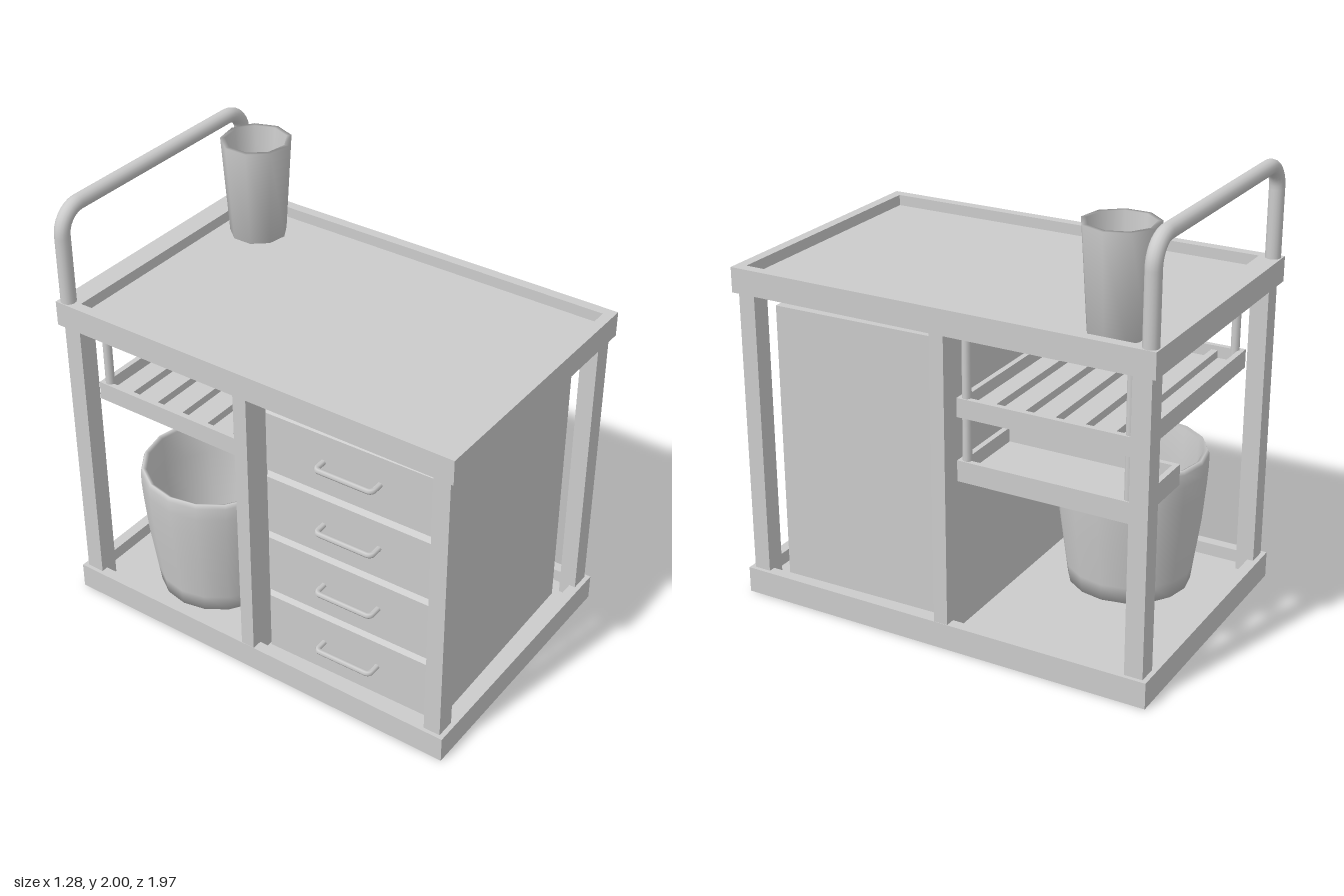
import * as THREE from 'three';

const mat = new THREE.MeshStandardMaterial({ color: 0xcccccc, side: THREE.DoubleSide });

function add(parent, name, geometry) {
  const mesh = new THREE.Mesh(geometry, mat);
  mesh.name = name;
  parent.add(mesh);
  return mesh;
}

// Box given by its [min, max] range on each axis
function block(parent, name, [x0, x1], [y0, y1], [z0, z1]) {
  const mesh = add(parent, name, new THREE.BoxGeometry(x1 - x0, y1 - y0, z1 - z0));
  mesh.position.set((x0 + x1) / 2, (y0 + y1) / 2, (z0 + z1) / 2);
}

// Rectangular rim with a floor panel inside it
function tray(parent, name, [x0, x1], [y0, y1], [z0, z1], rim, floor, backRim = rim) {
  const group = new THREE.Group();
  group.name = name;
  const corners = (a, b, c, d) => [[a, -c], [b, -c], [b, -d], [a, -d]].map(p => new THREE.Vector2(...p));
  const inner = [x0 + rim, x1 - rim, z0 + backRim, z1 - rim];
  const outline = new THREE.Shape(corners(x0, x1, z0, z1));
  outline.holes.push(new THREE.Path(corners(...inner)));
  const frame = new THREE.ExtrudeGeometry(outline, { depth: y1 - y0, bevelEnabled: false });
  frame.rotateX(-Math.PI / 2).translate(0, y0, 0);
  add(group, name + 'Rim', frame);
  block(group, name + 'Floor', inner.slice(0, 2), floor, inner.slice(2));
  parent.add(group);
  return group;
}

function lathe(parent, name, profile, sides, phi, x, y, z) {
  const points = profile.map(p => new THREE.Vector2(...p));
  add(parent, name, new THREE.LatheGeometry(points, sides, phi)).position.set(x, y, z);
}

function rod(parent, x, z, y0, y1) {
  add(parent, 'trayRod', new THREE.CylinderGeometry(0.02, 0.02, y1 - y0, 10)).position.set(x, (y0 + y1) / 2, z);
}

// Straight runs joined by rounded corners
function tube(parent, name, points, radius, bend, sides) {
  const path = new THREE.CurvePath();
  const p = points.map(q => new THREE.Vector3(...q));
  let start = p[0];
  for (let i = 1; i < p.length - 1; i++) {
    const before = p[i].clone().add(p[i - 1].clone().sub(p[i]).setLength(bend));
    const after = p[i].clone().add(p[i + 1].clone().sub(p[i]).setLength(bend));
    path.add(new THREE.LineCurve3(start, before));
    path.add(new THREE.CubicBezierCurve3(before, before.clone().lerp(p[i], 0.55), after.clone().lerp(p[i], 0.55), after));
    start = after;
  }
  path.add(new THREE.LineCurve3(start, p[p.length - 1]));
  add(parent, name, new THREE.TubeGeometry(path, 96, radius, sides, false));
}

// Drawer front whose outer face is narrowed to form a chamfer
function drawerFront(parent, y0, y1) {
  const h = y1 - y0, d = 0.865, inset = 0.018;
  const g = new THREE.BoxGeometry(0.03, h, d).toNonIndexed();
  const pos = g.attributes.position;
  for (let i = 0; i < pos.count; i++) {
    if (pos.getX(i) > 0) continue;
    pos.setY(i, pos.getY(i) * (1 - 2 * inset / h));
    pos.setZ(i, pos.getZ(i) * (1 - 2 * inset / d));
  }
  g.computeVertexNormals();
  add(parent, 'drawerFront', g).position.set(-0.515, (y0 + y1) / 2, -d / 2);
}

export function createModel() {
  const cart = new THREE.Group();
  cart.name = 'utilityCart';

  // Base and top trays
  tray(cart, 'base', [-0.64, 0.64], [0, 0.12], [-0.985, 0.985], 0.05, [0.035, 0.06]);
  tray(cart, 'top', [-0.64, 0.64], [1.432, 1.545], [-0.985, 0.985], 0.047, [1.432, 1.495], 0.1);

  // Posts and the divider between drawers and shelves
  for (const x of [[-0.622, -0.532], [0.532, 0.622]]) {
    block(cart, 'frontPost', x, [0.01, 1.44], [0.885, 0.963]);
    block(cart, 'middlePost', x, [0.01, 1.44], [-0.05, 0.005]);
    block(cart, 'backPost', x, [0.01, 1.44], [-0.963, -0.88]);
  }
  block(cart, 'divider', [-0.638, 0.638], [0.05, 1.44], [-0.055, 0.01]);

  // Drawer cabinet opening towards -x, set very slightly askew about its front
  const cabinet = new THREE.Group();
  cabinet.name = 'drawerCabinet';
  cabinet.position.z = 0.875;
  cabinet.rotation.y = 0.018;
  block(cabinet, 'cabinetBody', [-0.5, 0.5], [0.055, 1.35], [-0.865, 0]);
  for (let i = 0; i < 4; i++) {
    const y = 0.07 + i * 0.32, h = y + 0.17;
    drawerFront(cabinet, y, y + 0.32);
    tube(cabinet, 'drawerHandle',
      [[-0.53, h, -0.565], [-0.59, h, -0.565], [-0.59, h, -0.295], [-0.53, h, -0.295]], 0.013, 0.02, 6);
  }
  cart.add(cabinet);

  // Hanging trays with their rods, the upper one split by a deep middle bar
  const upper = tray(cart, 'upperTray', [-0.54, 0.54], [1.045, 1.13], [-0.87, -0.055], 0.025, [1.06, 1.075]);
  for (let i = 1; i <= 5; i++) {
    const z = -0.87 + i * 0.815 / 6;
    block(upper, 'traySlat', [-0.515, 0.515], [i === 3 ? 1.045 : 1.07, 1.11], [z - 0.015, z + 0.015]);
  }
  tray(cart, 'lowerTray', [0.12, 0.54], [0.755, 0.85], [-0.87, -0.055], 0.025, [0.77, 0.785]);
  for (const z of [-0.09, -0.83]) {
    rod(cart, 0.515, z, 0.8, 1.45);
    rod(cart, -0.515, z, 1.08, 1.45);
  }

  // Waste bucket on the base
  lathe(cart, 'bucket', [[0, 0.06], [0.277, 0.06], [0.288, 0.14], [0.318, 0.36], [0.333, 0.53], [0.339, 0.62],
    [0.339, 0.68], [0.33, 0.7], [0.312, 0.69], [0.305, 0.53], [0.29, 0.36], [0.258, 0.09], [0.25, 0.085], [0, 0.085]],
  16, 0, -0.25, 0, -0.477);

  // Cup on the top tray
  lathe(cart, 'cup', [[0, 0], [0.13, 0], [0.16, 0.455], [0.138, 0.455], [0.113, 0.03], [0.108, 0.025], [0, 0.025]],
    9, Math.PI / 2, 0.413, 1.495, -0.717);

  // Push handle
  tube(cart, 'pushHandle',
    [[-0.603, 1.48, -0.945], [-0.603, 1.966, -0.945], [0.603, 1.966, -0.945], [0.603, 1.48, -0.945]], 0.034, 0.11, 16);

  return cart;
}
